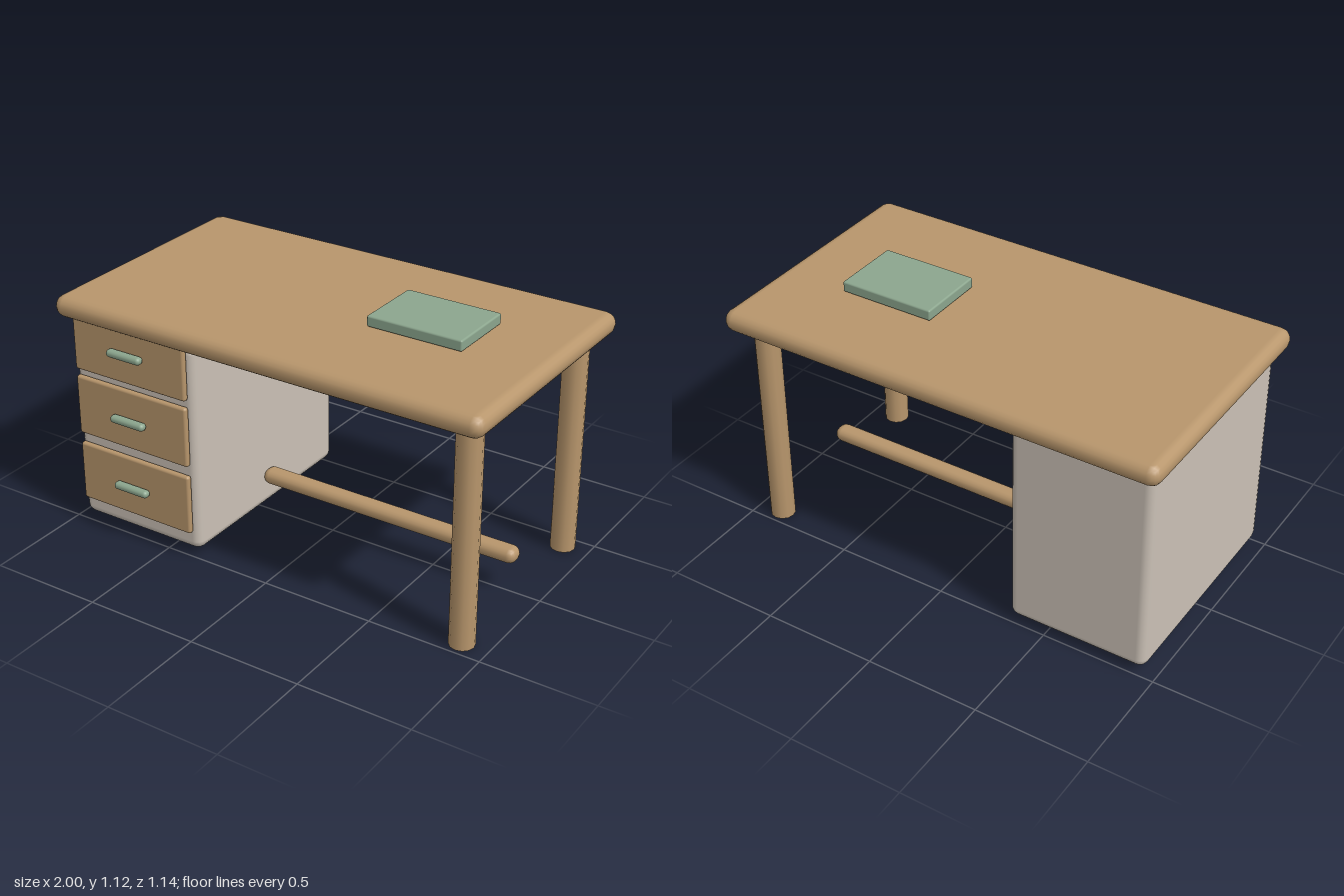
import * as THREE from 'three';
import { RoundedBoxGeometry } from 'three/addons/geometries/RoundedBoxGeometry.js';

export function createModel() {
  const desk = new THREE.Group();
  desk.name = 'desk';

  const material = (name, color) => {
    const m = new THREE.MeshStandardMaterial({ color });
    m.name = name;
    return m;
  };
  const wood = material('wood', 0xb8966c);
  const cream = material('warm grey paint', 0xcbc1b6);
  const green = material('sage green', 0x8ca68e);

  const add = (name, geometry, mat, x, y, z) => {
    const mesh = new THREE.Mesh(geometry, mat);
    mesh.name = name;
    mesh.position.set(x, y, z);
    desk.add(mesh);
    return mesh;
  };
  // Rounded box given by its extents on each axis
  const block = (name, mat, [x0, x1], [y0, y1], [z0, z1], radius, segments = 2) =>
    add(name, new RoundedBoxGeometry(x1 - x0, y1 - y0, z1 - z0, segments, radius), mat,
      (x0 + x1) / 2, (y0 + y1) / 2, (z0 + z1) / 2);

  // Worktop and the book lying on it
  block('tabletop', wood, [-1, 1], [0.97, 1.067], [-0.57, 0.57], 0.048);
  block('book', green, [0.24, 0.668], [1.072, 1.12], [-0.186, 0.126], 0.008);

  // Drawer cabinet
  block('cabinet', cream, [-0.957, -0.333], [0.033, 0.972], [-0.5, 0.5], 0.04);

  // Drawer fronts with bar handles
  for (const y of [0.26, 0.575, 0.875]) {
    block('drawerFront', wood, [-0.93, -0.36], [y - 0.135, Math.min(y + 0.135, 1.01)],
      [0.502, 0.53], 0.012);
    block('drawerHandle', green, [-0.733, -0.56], [y - 0.017, y + 0.017],
      [0.528, 0.567], 0.0165);
  }

  // Two round legs on the open side
  const leg = new THREE.CylinderGeometry(0.054, 0.054, 0.98, 12);
  for (const side of [1, -1]) {
    add(side > 0 ? 'frontLeg' : 'backLeg', leg, wood, 0.884, 0.49, side * 0.43);
  }

  // Low stretcher between cabinet and legs
  block('stretcher', wood, [-0.345, 0.89], [0.14, 0.21], [-0.042, 0.042], 0.034);

  return desk;
}
